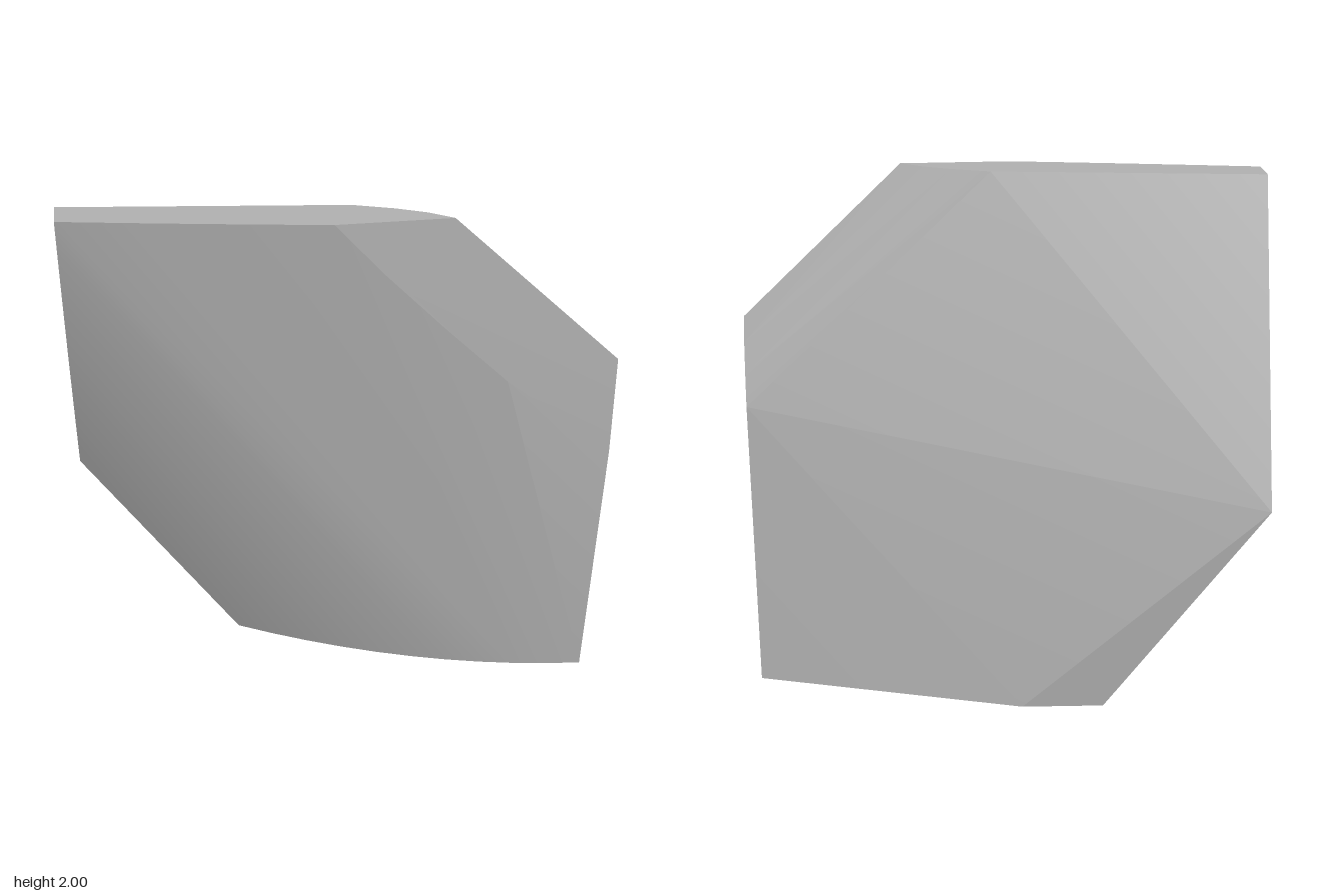
import * as THREE from 'three';
import { ConvexGeometry } from 'three/addons/geometries/ConvexGeometry.js';
import { toCreasedNormals } from 'three/addons/utils/BufferGeometryUtils.js';

const v = (x, y, z) => new THREE.Vector3(x, y, z);
const bow = (a, control, b, steps) => new THREE.QuadraticBezierCurve3(a, control, b).getPoints(steps);

export function createModel() {
  const stone = new THREE.MeshStandardMaterial({ color: 0xb0b0b0 });
  stone.name = 'grey stone';

  // Bowed rims of the front face
  const leftRim = bow(v(-0.95, 2, 0.172), v(-0.95, 1.425, 0.045), v(-0.95, 0.85, -0.21), 10);
  const bottomRim = bow(v(-0.37, 0, -0.215), v(0.29, 0, 0.165), v(0.95, 0, 0.22), 10);
  const topRim = bow(v(-0.95, 2, 0.172), v(-0.45, 2, 0.265), v(-0.05, 2, 0.327), 4);

  // Curved border of the flat upper corner
  const flatCorner = [[-0.05, 2], [0.12, 1.81], [0.325, 1.6], [0.56, 1.37], [0.95, 1.05], [0.95, 1.43], [0.35, 2]]
    .map(([x, y]) => v(x, y, 0.327));

  // Corners of the faceted back
  const back = [
    v(-0.95, 2, 0.05), v(0.03, 2, 0.172), v(0.17, 2, 0.222), v(0.27, 2, 0.27),
    v(0.95, 1.35, 0.26), v(0.95, 1.24, 0.216), v(0.95, 1.12, 0.18), v(0.95, 0, 0.096),
    v(-0.06, 0, -0.2), v(-0.95, 0.85, -0.33),
  ];

  const hull = new ConvexGeometry([...leftRim, ...bottomRim, ...topRim, ...flatCorner, ...back]);
  const slab = new THREE.Mesh(toCreasedNormals(hull, 0.15), stone);
  slab.name = 'curvedShard';

  const group = new THREE.Group();
  group.name = 'stoneShard';
  group.add(slab);
  return group;
}
